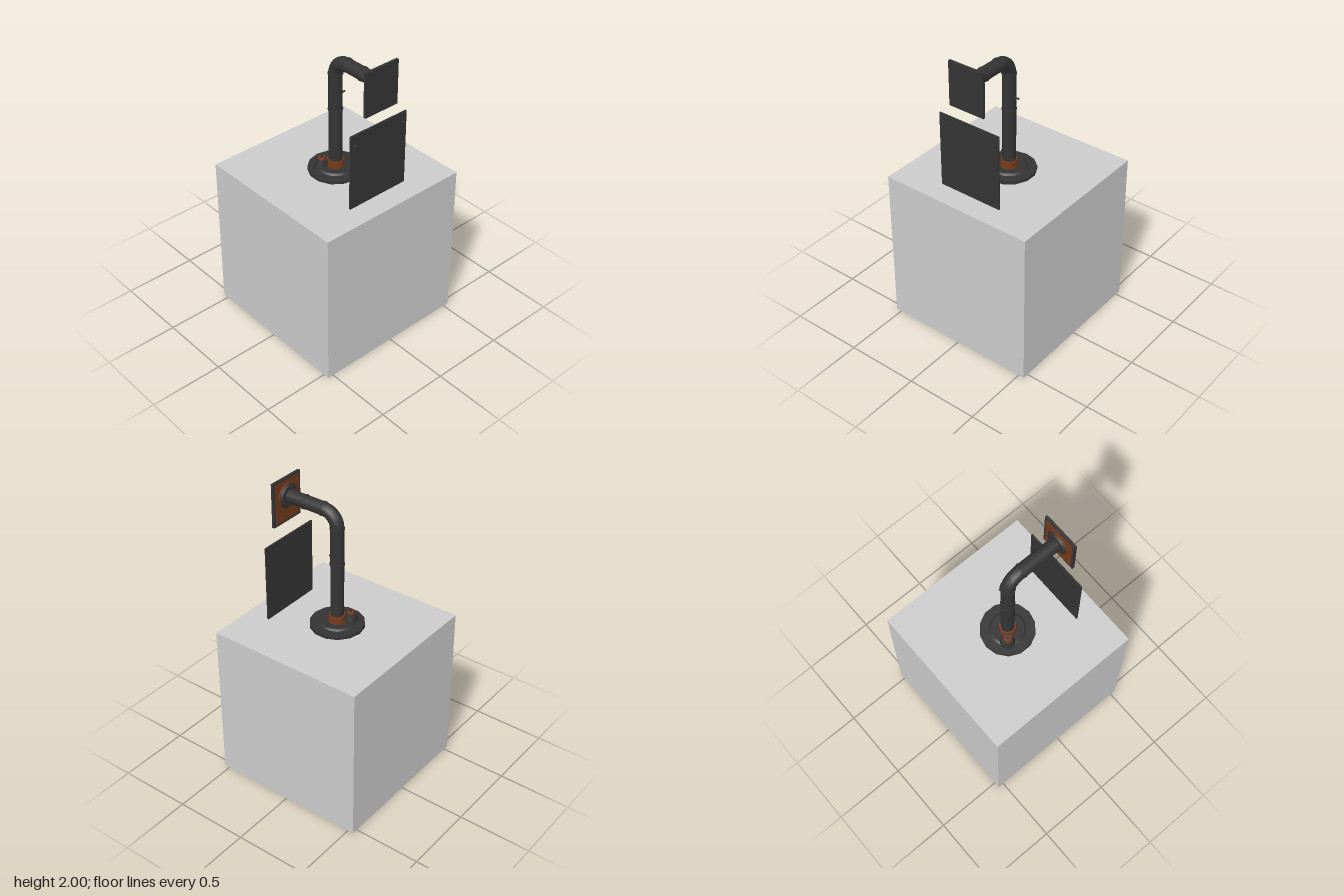
import * as THREE from 'three';

const iron = new THREE.MeshStandardMaterial({ color: 0x343434 });
iron.name = 'dark iron';
const rust = new THREE.MeshStandardMaterial({ color: 0x74391c });
rust.name = 'rust';
const block = new THREE.MeshStandardMaterial({ color: 0xcbcbcb });
block.name = 'pale grey';

const SIDES = 14;
const PIPE_R = 0.044;
const BEND_R = 0.1;
const ARM_Y = 1.88;

export function createModel() {
  const model = new THREE.Group();
  model.name = 'pipeStand';

  function add(name, geometry, material, x = 0, y = 0, z = 0) {
    const mesh = new THREE.Mesh(geometry, material);
    mesh.name = name;
    mesh.position.set(x, y, z);
    model.add(mesh);
    return mesh;
  }
  const box = (name, mat, w, h, d, x, y, z) =>
    add(name, new THREE.BoxGeometry(w, h, d), mat, x, y, z);
  // Upright cylinder from y0 to y1
  const post = (name, mat, rTop, rBottom, y0, y1, x = 0, z = 0, sides = SIDES) =>
    add(name, new THREE.CylinderGeometry(rTop, rBottom, y1 - y0, sides), mat, x, (y0 + y1) / 2, z);
  // Cylinder along z from z0 (back) to z1 (front), on the arm's axis
  const along = (name, mat, rFront, rBack, z0, z1, sides = SIDES) =>
    add(name, new THREE.CylinderGeometry(rFront, rBack, z1 - z0, sides).rotateX(Math.PI / 2),
      mat, 0, ARM_Y, (z0 + z1) / 2);

  // Block
  box('pedestal', block, 1.08, 1.085, 1.08, 0, 0.5425, 0);

  // Floor flange, its raised step and the rusty collar
  post('baseFlange', iron, 0.178, 0.178, 1.085, 1.106);
  post('baseStep', iron, 0.105, 0.118, 1.106, 1.116);
  post('baseCollar', rust, 0.054, 0.058, 1.116, 1.165);

  // Small valve knob beside the pipe
  post('knobBody', iron, 0.036, 0.05, 1.106, 1.165, -0.066, -0.057);
  post('knobCap', rust, 0.024, 0.027, 1.165, 1.174, -0.066, -0.057);
  post('knobPin', iron, 0.008, 0.008, 1.174, 1.188, -0.066, -0.057, 8);

  // Upright, bend and arm
  const bendY = ARM_Y - BEND_R;
  post('uprightPipe', iron, PIPE_R, PIPE_R, 1.106, bendY);
  const bend = new THREE.TorusGeometry(BEND_R, PIPE_R, SIDES, 6, Math.PI / 2).rotateY(Math.PI / 2);
  add('pipeBend', bend, iron, 0, bendY, BEND_R);
  along('armPipe', iron, PIPE_R, PIPE_R, BEND_R, 0.37);

  // Joint bands
  post('uprightBand', iron, 0.048, 0.048, 1.527, 1.535);
  post('lowerBendBand', iron, 0.048, 0.048, bendY - 0.004, bendY + 0.004);
  along('upperBendBand', iron, 0.048, 0.048, BEND_R, BEND_R + 0.008);
  along('armBand', iron, 0.048, 0.048, 0.238, 0.246);

  // Side peg on the upright
  const peg = new THREE.CylinderGeometry(0.006, 0.006, 0.04, 8).rotateZ(Math.PI / 2);
  add('sidePeg', peg, iron, 0.056, 1.625, 0);

  // Wall flange behind the upper plate
  along('armFlange', iron, 0.082, 0.072, 0.362, 0.374);
  along('armFlangeRing', rust, 0.088, 0.088, 0.374, 0.382);

  // Upper plate with its rusty back face
  box('upperPlate', iron, 0.256, 0.3, 0.018, 0, 1.85, 0.396);
  box('upperPlateBack', rust, 0.224, 0.268, 0.005, 0, 1.85, 0.3855);

  // Lower plate with two bolts
  box('lowerPlate', iron, 0.452, 0.52, 0.01, 0, 1.345, 0.383);
  for (const side of [-1, 1]) {
    box('plateBolt', iron, 0.022, 0.018, 0.018, side * 0.194, 1.53, 0.396);
  }

  return model;
}
